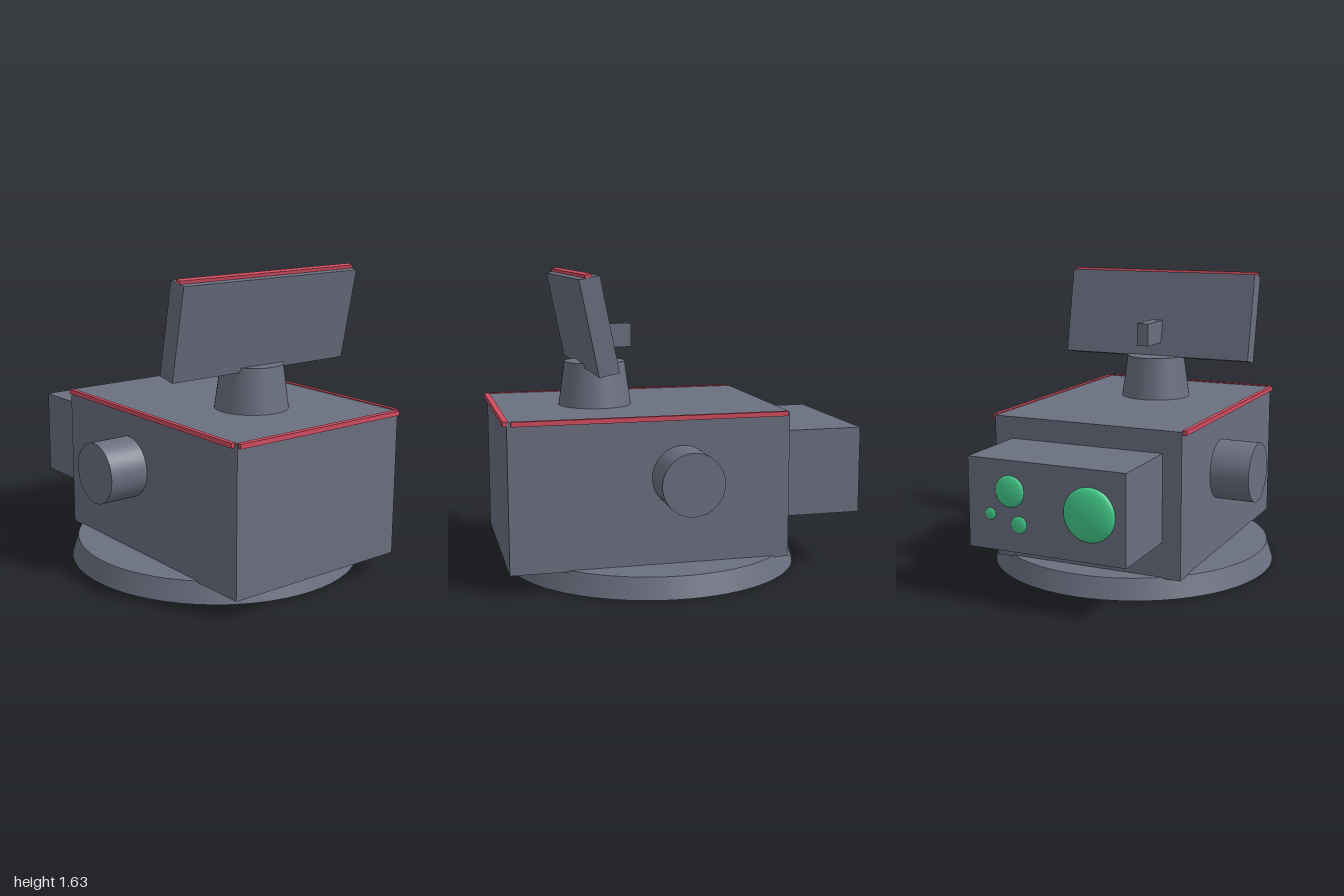
import * as THREE from 'three';

export function createModel() {
  const model = new THREE.Group();
  model.name = 'sensorTurret';
  const grey = new THREE.MeshStandardMaterial({ color: 0x6b7080 });
  grey.name = 'slate grey';
  const red = new THREE.MeshStandardMaterial({ color: 0xd04c60 });
  red.name = 'trim red';
  const green = new THREE.MeshStandardMaterial({ color: 0x45cf8e });
  green.name = 'lens green';

  function add(name, geometry, material, x, y, z, parent = model) {
    const mesh = new THREE.Mesh(geometry, material);
    mesh.name = name;
    mesh.position.set(x, y, z);
    parent.add(mesh);
    return mesh;
  }
  const box = (w, h, d) => new THREE.BoxGeometry(w, h, d);

  // Round foot and main housing
  add('base', new THREE.CylinderGeometry(0.775, 0.81, 0.112, 64), grey, 0, 0.056, 0.12);
  add('body', box(1.09, 0.79, 1.495), grey, 0, 0.5, 0.2325);
  add('rearHousing', box(0.88, 0.475, 0.46), grey, 0, 0.5375, -0.735);

  // Red trim along the top edges
  add('frontTrim', box(1.08, 0.025, 0.03), red, 0, 0.8875, 0.985);
  for (const side of [-1, 1]) {
    const name = side > 0 ? 'left' : 'right';
    add(name + 'Trim', box(0.025, 0.025, 1.46), red, side * 0.5525, 0.8875, 0.23);
    // Side pivots
    const pivot = add(name + 'Pivot', new THREE.CylinderGeometry(0.165, 0.165, 0.24, 48), grey,
      side * 0.645, 0.575, 0.07);
    pivot.rotation.z = Math.PI / 2;
  }

  // Tapered neck
  add('neck', new THREE.CylinderGeometry(0.167, 0.2, 0.24, 48), grey, 0, 1.015, 0.435);

  // Tilted panel with its top strip
  const panel = new THREE.Group();
  panel.name = 'panel';
  panel.position.set(0, 1.366, 0.511);
  panel.rotation.x = 0.197;
  model.add(panel);
  add('panelPlate', box(1.16, 0.5, 0.107), grey, 0, 0, 0, panel);
  add('panelStrip', box(1.158, 0.025, 0.035), red, 0, 0.255, 0.003, panel);
  add('receiver', box(0.07, 0.13, 0.22), grey, 0, 1.275, 0.345);

  // Shallow dome lenses on the rear face: x, y, radius, depth
  const dome = new THREE.SphereGeometry(1, 32, 12, 0, Math.PI * 2, 0, Math.PI / 2);
  dome.rotateX(-Math.PI / 2);
  const lenses = [
    [-0.243, 0.545, 0.14, 0.035],
    [0.2, 0.615, 0.082, 0.02],
    [0.15, 0.447, 0.045, 0.011],
    [0.313, 0.487, 0.031, 0.008],
  ];
  lenses.forEach(([x, y, r, depth], i) => {
    add('lens' + (i + 1), dome, green, x, y, -0.965).scale.set(r, r, depth);
  });

  return model;
}
